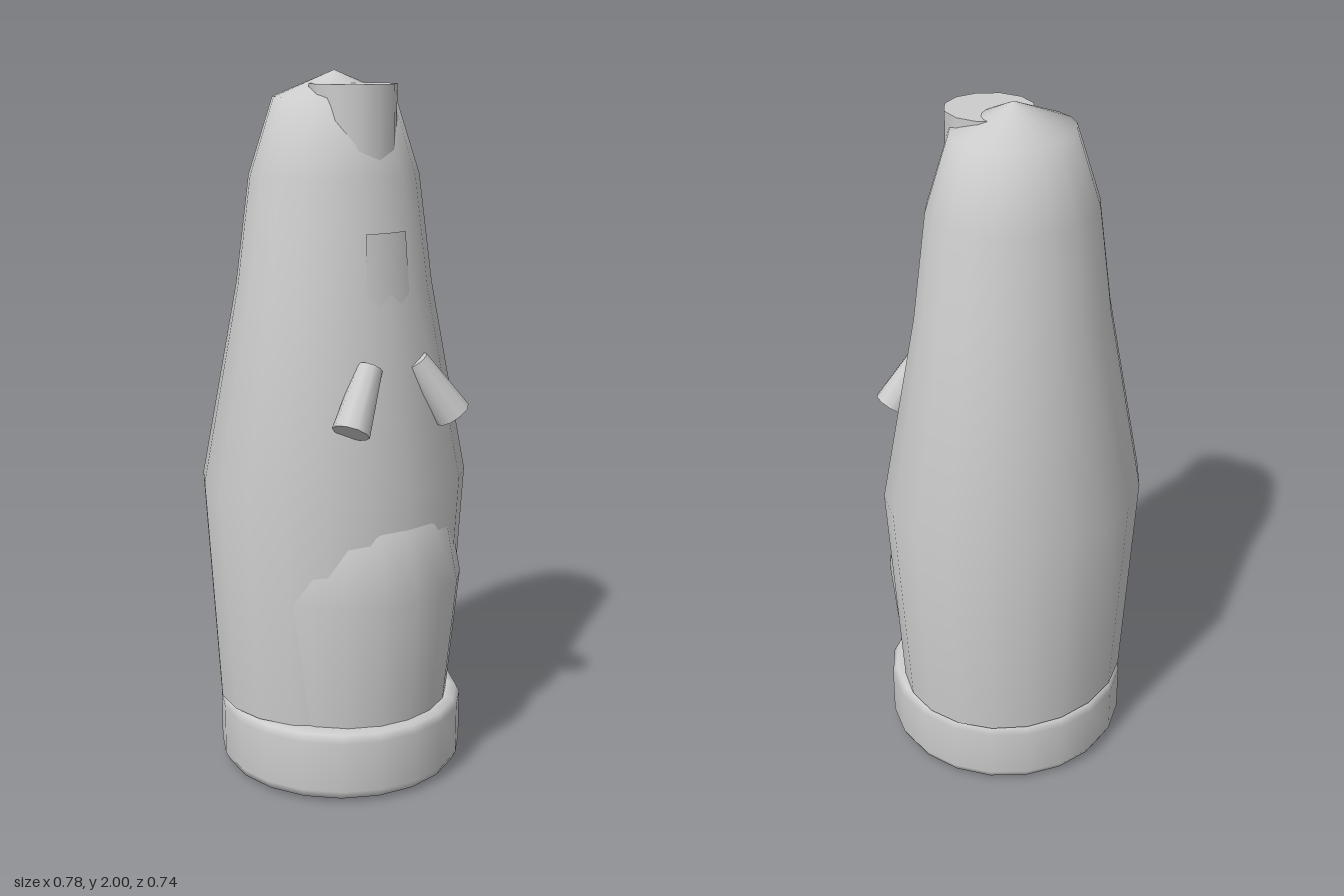
import * as THREE from 'three';

const grey = new THREE.MeshStandardMaterial({ color: 0xcccccc });
grey.name = 'light grey';
const greyThin = grey.clone();
greyThin.name = 'light grey';
greyThin.side = THREE.DoubleSide;

export function createModel() {
  const model = new THREE.Group();

  const add = (name, geometry, material = grey) => {
    const mesh = new THREE.Mesh(geometry, material);
    mesh.name = name;
    model.add(mesh);
    return mesh;
  };
  const lathe = (points, sides) =>
    new THREE.LatheGeometry(points.map(([r, y]) => new THREE.Vector2(r, y)), sides);

  // Tall tapered body, slightly flattened front to back
  const body = add('body', lathe([
    [0.352, 0.215], [0.392, 0.87], [0.285, 1.42], [0.245, 1.72], [0.175, 1.93], [0, 2],
  ], 20));
  body.scale.z = 0.9;
  body.position.z = -0.018;
  const underside = add('bodyUnderside', new THREE.CircleGeometry(0.352, 20));
  underside.rotation.x = Math.PI / 2;
  underside.scale.y = 0.9;
  underside.position.set(0, 0.215, -0.018);

  // Round base with softened rims
  const base = add('base', lathe([
    [0, 0.005], [0.315, 0.005], [0.342, 0.014], [0.356, 0.04],
    [0.356, 0.185], [0.345, 0.207], [0.32, 0.216], [0, 0.216],
  ], 20));
  base.position.z = 0.013;
  const bottom = add('baseBottom', new THREE.CircleGeometry(0.32, 20));
  bottom.rotation.x = Math.PI / 2;
  bottom.position.set(0, 0.002, 0.013);

  // Belly swelling out of the lower front
  const belly = add('belly', lathe([
    [0.285, 0.21], [0.32, 0.58], [0.285, 0.77], [0.2, 0.9], [0, 0.95],
  ], 20));
  belly.scale.x = 1.03;
  belly.position.z = 0.05;

  // Shallow curved plate on the chest
  const plate = add('chestPlate',
    new THREE.CylinderGeometry(0.243, 0.262, 0.22, 4, 1, true, -0.28, 0.56), greyThin);
  plate.position.set(0, 1.47, 0);
  plate.position.z = -0.018;

  // Snout stub standing at the front of the head
  const snout = add('snout', new THREE.CylinderGeometry(0.12, 0.12, 0.4, 12));
  snout.position.set(0, 1.765, 0.068);

  // Two short arms pointing down and outwards
  for (const [name, side] of [['leftArm', 1], ['rightArm', -1]]) {
    const shoulder = new THREE.Vector3(0.08 * side, 1.228, 0.25);
    const hand = new THREE.Vector3(0.177 * side, 1.072, 0.297);
    const axis = hand.clone().sub(shoulder);
    const arm = add(name, new THREE.CylinderGeometry(0.052, 0.036, axis.length(), 10));
    arm.position.copy(shoulder).add(hand).multiplyScalar(0.5);
    arm.quaternion.setFromUnitVectors(new THREE.Vector3(0, 1, 0), axis.normalize());
  }

  return model;
}
